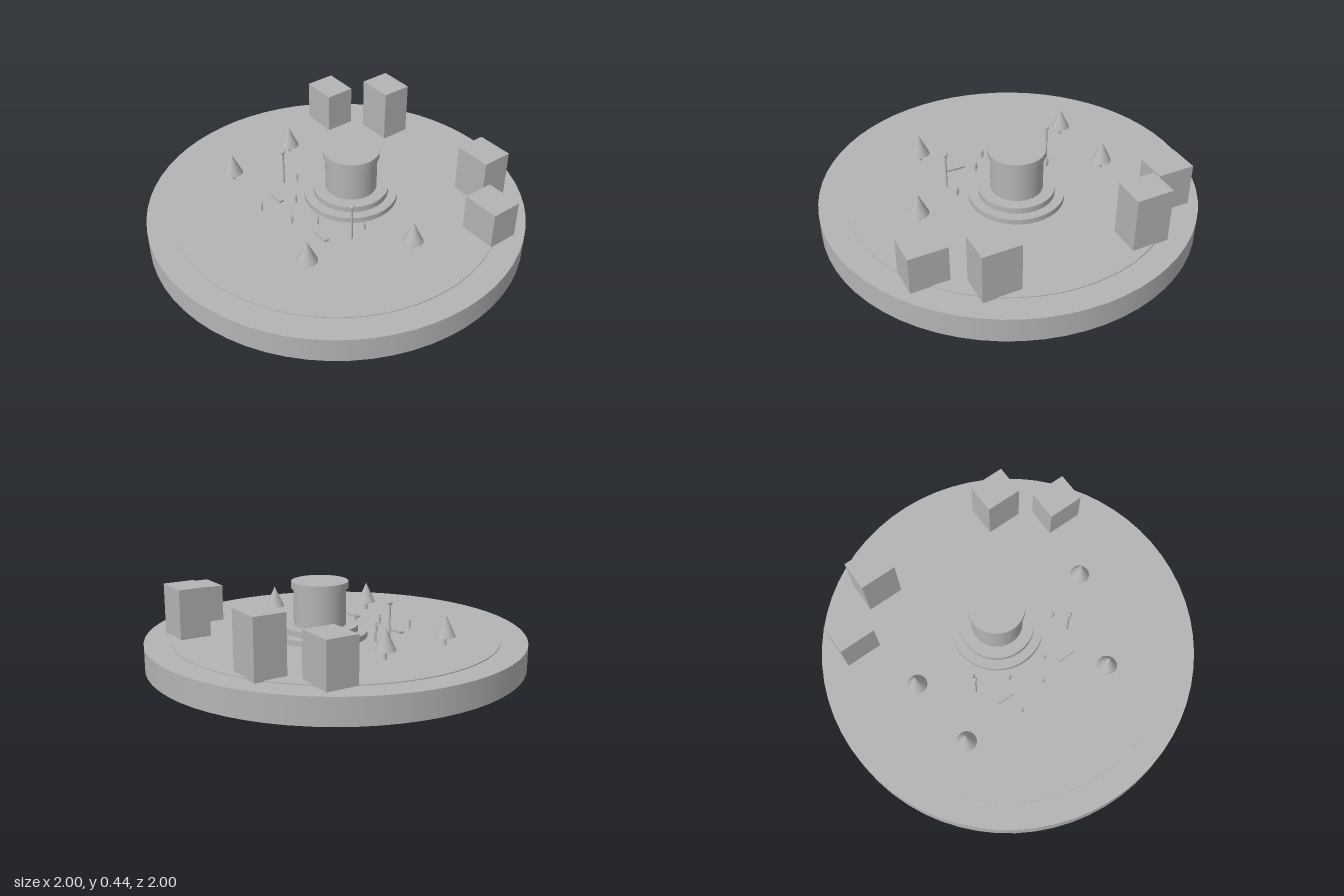
import * as THREE from 'three';

export function createModel() {
  const model = new THREE.Group();
  const grey = new THREE.MeshStandardMaterial({ color: 0xb4b4b4 });
  grey.name = 'stone grey';

  const group = (name, x, z) => {
    const g = new THREE.Group();
    g.name = name;
    g.position.set(x, 0, z);
    model.add(g);
    return g;
  };
  const add = (parent, name, geometry, x, y, z) => {
    const mesh = new THREE.Mesh(geometry, grey);
    mesh.name = name;
    mesh.position.set(x, y, z);
    parent.add(mesh);
    return mesh;
  };
  // Upright cylinder or cone between two heights
  const drum = (parent, name, rTop, rBottom, y0, y1, sides, x = 0, z = 0) =>
    add(parent, name, new THREE.CylinderGeometry(rTop, rBottom, y1 - y0, sides), x, (y0 + y1) / 2, z);

  const floor = 0.14;

  // Round base with a slightly raised plaza
  drum(model, 'base', 1, 1, 0, 0.135, 64);
  drum(model, 'plaza', 0.865, 0.865, 0.13, floor, 64);

  // Central monument on two steps
  const monument = group('monument', 0, -0.1);
  drum(monument, 'lowerStep', 0.25, 0.25, floor, 0.17, 64);
  drum(monument, 'upperStep', 0.2, 0.2, 0.17, 0.203, 64);
  drum(monument, 'column', 0.137, 0.137, 0.203, 0.395, 64);
  drum(monument, 'cap', 0.148, 0.148, 0.395, 0.431, 64);

  // Block buildings: x, z, roof height
  for (const [x, z, top] of [
    [-0.67, -0.467, 0.367], [-0.4, -0.67, 0.435],
    [0.4, -0.67, 0.402], [0.67, -0.467, 0.335],
  ]) {
    add(model, 'building', new THREE.BoxGeometry(0.2, top - 0.13, 0.167), x, (top + 0.13) / 2, z);
  }

  // Conical trees
  for (const [x, z] of [[-0.535, -0.07], [0.535, -0.07], [-0.5, 0.33], [0.333, 0.43]]) {
    const tree = group('tree', x, z);
    drum(tree, 'trunk', 0.008, 0.008, floor, 0.187, 12);
    drum(tree, 'foliage', 0, 0.053, 0.184, 0.298, 24);
  }

  // Lamp posts and benches, mirrored
  for (const side of [-1, 1]) {
    const lamp = group('lamp', side * 0.3, 0.13);
    drum(lamp, 'post', 0.005, 0.005, floor, 0.338, 10);
    add(lamp, 'globe', new THREE.SphereGeometry(0.013, 16, 12), 0, 0.343, 0);
    add(model, 'bench', new THREE.BoxGeometry(0.1, 0.012, 0.027), side * 0.2, 0.157, 0.248);
  }

  // Small standing figures
  for (const [x, z] of [
    [-0.27, 0.063], [0.28, 0.03], [-0.118, 0.18],
    [0.1, 0.195], [-0.17, 0.362], [0.015, 0.297],
  ]) {
    const person = group('person', x, z);
    for (const side of [-1, 1]) drum(person, 'leg', 0.003, 0.003, floor, 0.166, 8, side * 0.004);
    const body = add(person, 'body', new THREE.CapsuleGeometry(0.009, 0.012, 4, 12), 0, 0.172, 0);
    body.scale.z = 0.65;
    add(person, 'head', new THREE.SphereGeometry(0.0065, 12, 8), 0, 0.189, 0);
  }

  return model;
}
